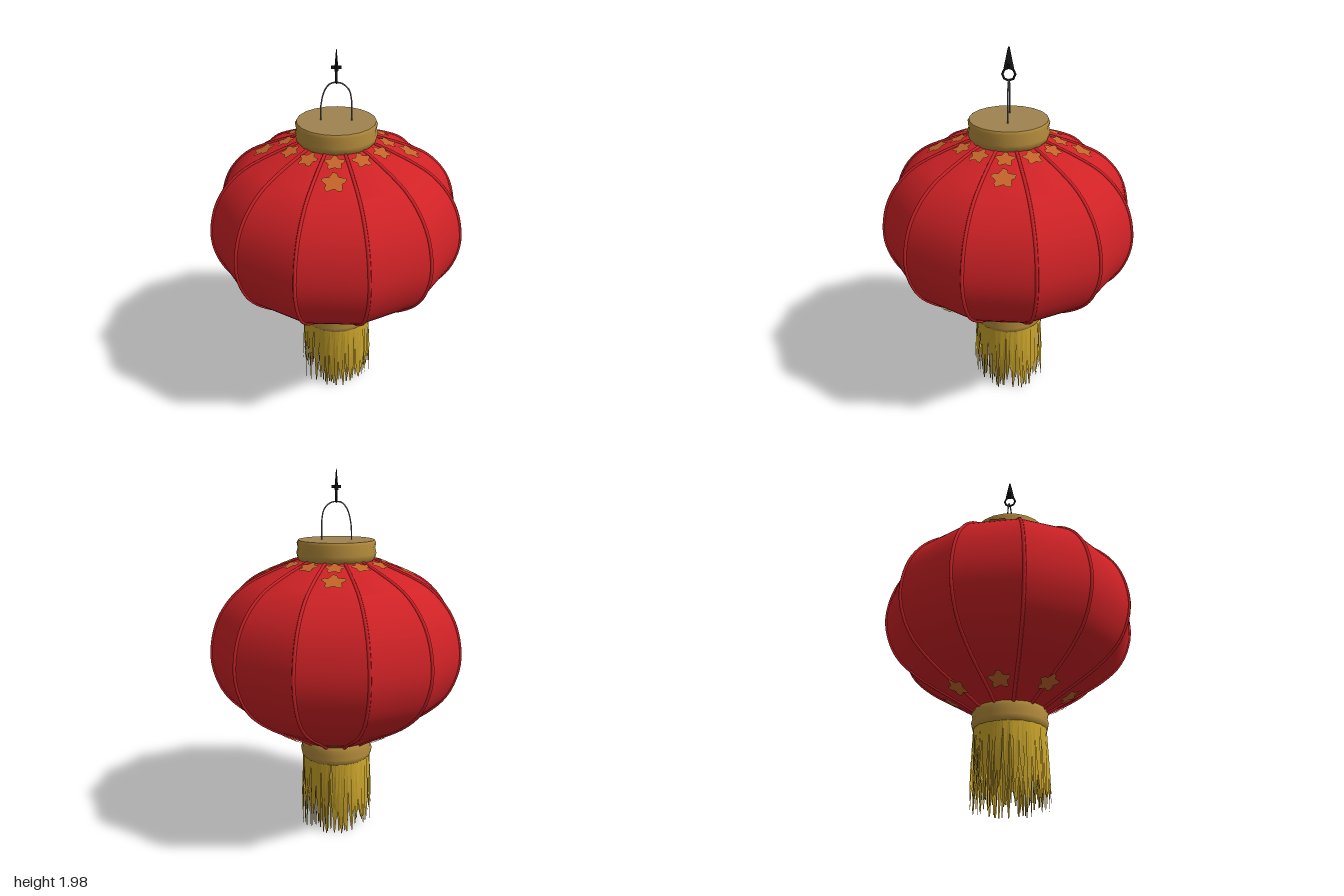
import * as THREE from 'three';
import { toCreasedNormals } from 'three/addons/utils/BufferGeometryUtils.js';

const mat = (name, color, side = THREE.FrontSide) => {
  const m = new THREE.MeshStandardMaterial({ color, side });
  m.name = name;
  return m;
};
const V2 = (x, y) => new THREE.Vector2(x, y);
const V3 = (x, y, z) => new THREE.Vector3(x, y, z);
const PANELS = 12;
const STEP = (Math.PI * 2) / PANELS;

// Rib outline, bottom to top: radius at the corners, height
const outline = new THREE.SplineCurve([
  [0.19, 0.53], [0.28, 0.585], [0.46, 0.69], [0.59, 0.8], [0.655, 0.92], [0.677, 1.05],
  [0.65, 1.2], [0.585, 1.32], [0.475, 1.42], [0.3, 1.5], [0.2, 1.535],
].map(([r, y]) => V2(r, y)));

export function createModel() {
  const red = mat('red cloth', 0xd02226);
  const gold = mat('gold brocade', 0xb58c3c, THREE.DoubleSide);
  const tan = mat('tan lid', 0xa08350);
  const yellow = mat('yellow thread', 0xccA62c, THREE.DoubleSide);
  const orange = mat('orange flower', 0xc4642a, THREE.DoubleSide);
  const black = mat('black metal', 0x17171a);
  const grey = mat('grey wire', 0x707070);

  const model = new THREE.Group();
  const add = (name, geo, material, parent = model) => {
    const mesh = new THREE.Mesh(geo, material);
    mesh.name = name;
    parent.add(mesh);
    return mesh;
  };
  const group = (name) => {
    const g = new THREE.Group();
    g.name = name;
    model.add(g);
    return g;
  };
  let seed = 7;
  const rand = () => (seed = (seed * 16807) % 2147483647) / 2147483647;

  // Twelve-sided cloth body
  const pts = outline.getPoints(40);
  const bodyGeo = new THREE.LatheGeometry([V2(0, 0.53), ...pts, V2(0, 1.535)], PANELS, STEP / 2);
  add('body', toCreasedNormals(bodyGeo, 0.3), red);

  // Seams along the corners
  const ribs = group('ribs');
  const ribCurve = new THREE.CatmullRomCurve3(outline.getPoints(20).map((p) => V3(0, p.y, p.x)));
  const ribGeo = new THREE.TubeGeometry(ribCurve, 40, 0.009, 6);
  for (let i = 0; i < PANELS; i++) {
    add('rib', ribGeo, red, ribs).rotation.y = (i + 0.5) * STEP;
  }

  // Collars above and below, with the lid
  const collar = (name, profile) =>
    add(name, new THREE.LatheGeometry(profile.map(([r, y]) => V2(r, y)), 20), gold);
  collar('topCollar', [[0.19, 1.525], [0.207, 1.545], [0.213, 1.57], [0.206, 1.6], [0.211, 1.625], [0.203, 1.64]]);
  collar('bottomCollar', [[0.185, 0.425], [0.197, 0.435], [0.203, 0.46], [0.196, 0.485], [0.202, 0.51], [0.19, 0.535]]);
  const lid = add('lid', new THREE.CircleGeometry(0.204, 20), tan);
  lid.rotation.x = -Math.PI / 2;
  lid.position.y = 1.64;

  // Lobed flower patch, lying on the cloth
  const petals = [];
  for (let i = 0; i < 40; i++) {
    const a = (i / 40) * Math.PI * 2;
    const r = 0.82 + 0.18 * Math.cos(5 * a - Math.PI / 2) + 0.05 * Math.cos(15 * a);
    petals.push(V2(r * Math.cos(a), r * Math.sin(a)));
  }
  const flowerGeo = new THREE.ShapeGeometry(new THREE.Shape(petals));
  const flowers = group('flowers');
  const addFlower = (angle, radius, top, size, material = orange, onRib = false) => {
    const k = onRib ? 1 : Math.cos(STEP / 2);
    const side = pts.filter((p) => (p.y > 1.05) === top);
    let i = 1;
    side.forEach((p, j) => {
      const best = Math.abs(side[i].x * k - radius);
      if (j > 0 && j < side.length - 1 && Math.abs(p.x * k - radius) < best) i = j;
    });
    const t = side[i + 1].clone().sub(side[i - 1]).normalize();
    const n = V2(t.y, -t.x);
    const holder = new THREE.Group();
    holder.rotation.y = angle;
    const flower = add('flower', flowerGeo, material, holder);
    flower.position.set(0, side[i].y + n.y * 0.012, side[i].x * k + n.x * 0.012);
    flower.rotation.x = -Math.atan2(n.y, n.x);
    flower.scale.set(size, size, 1);
    flowers.add(holder);
  };
  for (let i = 0; i < PANELS; i++) {
    addFlower(i * STEP, 0.265, true, 0.052);
    if (i % 3 === 0) addFlower(i * STEP, 0.355, true, 0.064);
  }
  for (let i = 0; i < 8; i++) {
    addFlower((i * Math.PI) / 4, 0.31, false, 0.06, orange, i % 2 === 1);
  }
  addFlower(0.91, 0.48, false, 0.03, yellow);

  // Fringe of tapering threads in three rings
  const pos = [];
  for (const [ring, count] of [[0.19, 64], [0.172, 48], [0.14, 24]]) {
    for (let i = 0; i < count; i++) {
      const a = ((i + rand() * 0.6) / count) * Math.PI * 2;
      const w = 0.011 + rand() * 0.007;
      const tipY = 0.015 + rand() * rand() * 0.2;
      const drift = (rand() - 0.5) * 0.12;
      const flare = (rand() - 0.35) * 0.035;
      const point = (angle, r, y) => [r * Math.sin(angle), y, r * Math.cos(angle)];
      const d = w / ring;
      const midY = 0.16 + rand() * 0.08;
      const tl = point(a - d, ring, 0.45);
      const tr = point(a + d, ring, 0.45);
      const ml = point(a - d * 0.7 + drift / 2, ring + flare / 2, midY);
      const mr = point(a + d * 0.7 + drift / 2, ring + flare / 2 + 0.006, midY);
      const bl = point(a - d * 0.2 + drift, ring + flare, tipY);
      const br = point(a + d * 0.2 + drift, ring + flare, tipY);
      pos.push(...tl, ...ml, ...tr, ...tr, ...ml, ...mr);
      pos.push(...ml, ...bl, ...mr, ...mr, ...bl, ...br);
    }
  }
  const fringeGeo = new THREE.BufferGeometry();
  fringeGeo.setAttribute('position', new THREE.Float32BufferAttribute(pos, 3));
  fringeGeo.computeVertexNormals();
  add('fringe', fringeGeo, yellow);

  // Wire handle
  const handleCurve = new THREE.CatmullRomCurve3([
    V3(-0.08, 1.635, 0), V3(-0.077, 1.72, 0), V3(-0.058, 1.795, 0), V3(-0.03, 1.83, 0), V3(0, 1.836, 0),
    V3(0.03, 1.83, 0), V3(0.062, 1.8, 0), V3(0.075, 1.75, 0), V3(0.077, 1.635, 0),
  ]);
  add('handle', new THREE.TubeGeometry(handleCurve, 40, 0.004, 6), grey);

  // Hanging hook: ring, cross pin and pointed clip
  const hook = group('hook');
  const ring = add('hookRing', new THREE.TorusGeometry(0.032, 0.006, 6, 8), black, hook);
  ring.position.y = 1.866;
  ring.rotation.y = Math.PI / 2;
  const pin = add('hookPin', new THREE.BoxGeometry(0.05, 0.014, 0.014), black, hook);
  pin.position.y = 1.912;
  const clip = add('hookClip', new THREE.CylinderGeometry(0.004, 0.026, 0.105, 8), black, hook);
  clip.position.y = 1.9475;
  clip.scale.x = 0.4;

  return model;
}
